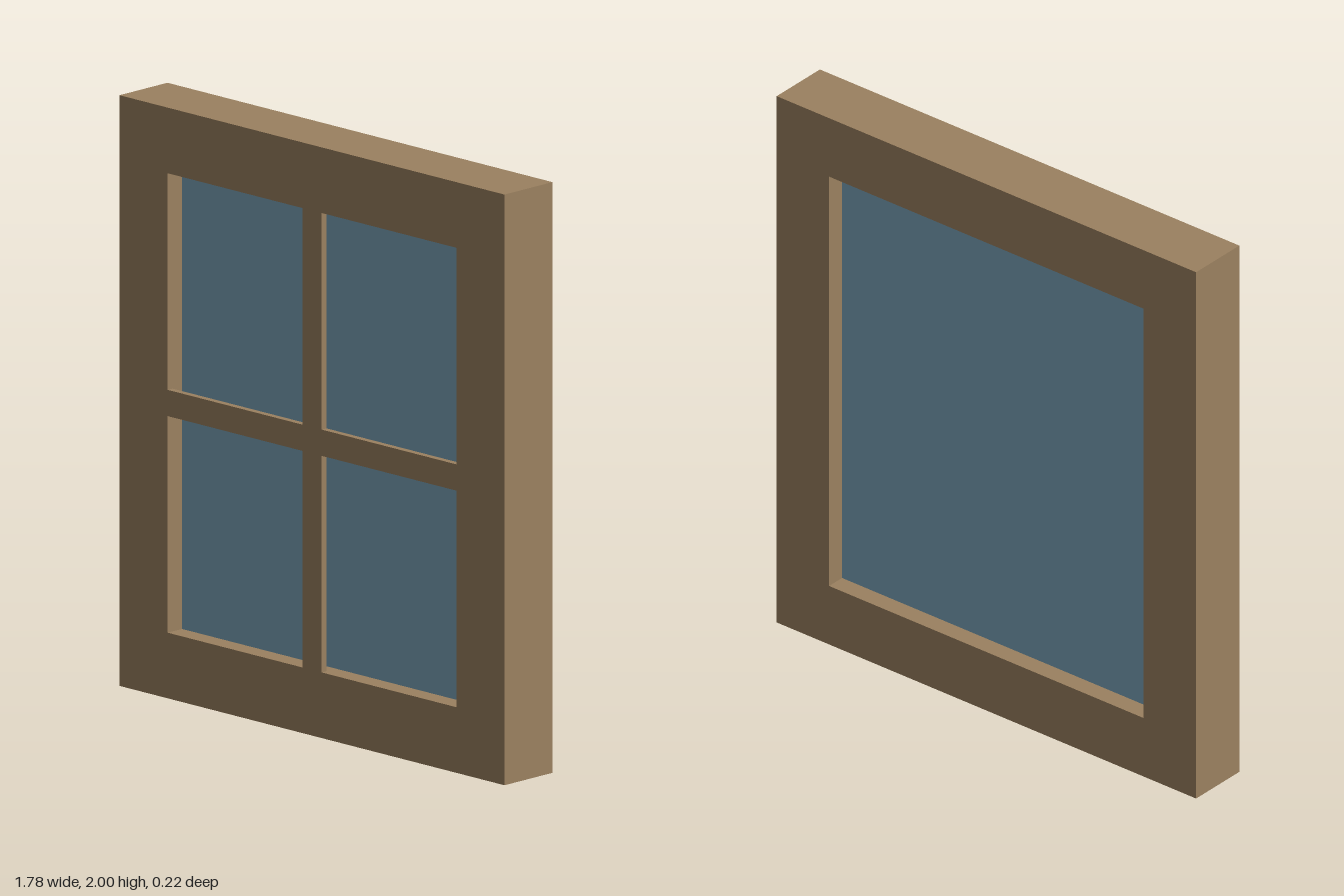
import * as THREE from 'three';

const U = 2 / 9; // one unit: the frame rail width and depth
const W = 8 * U, H = 9 * U, D = U;

// Adds a rectangular outline, centred on the origin
function rect(path, w, h) {
  path.moveTo(-w / 2, -h / 2);
  path.lineTo(w / 2, -h / 2);
  path.lineTo(w / 2, h / 2);
  path.lineTo(-w / 2, h / 2);
  path.closePath();
  return path;
}

export function createModel() {
  const wood = new THREE.MeshStandardMaterial({ name: 'brown wood', color: 0x9b8160 });
  const blue = new THREE.MeshStandardMaterial({ name: 'blue glass', color: 0x7ba4ba });
  const group = new THREE.Group();
  group.name = 'window';

  const add = (name, geometry, material, z) => {
    const mesh = new THREE.Mesh(geometry, material);
    mesh.name = name;
    mesh.position.set(0, H / 2, z);
    group.add(mesh);
  };

  const openW = W - 2 * U, openH = H - 2 * U;

  // Outer frame with one large opening
  const outline = rect(new THREE.Shape(), W, H);
  outline.holes.push(rect(new THREE.Path(), openW, openH));
  add('frame', new THREE.ExtrudeGeometry(outline, { depth: D, bevelEnabled: false }), wood, -D / 2);

  // Single pane set midway through the frame
  add('glass', new THREE.BoxGeometry(openW, openH, 0.4 * U), blue, 0);

  // Thin cross of glazing bars, flush with the front and clear of the glass
  const bar = 0.4 * U, thin = 0.1 * U;
  const cross = new THREE.Shape();
  const a = bar / 2, x = openW / 2, y = openH / 2;
  [[a, a], [a, y], [-a, y], [-a, a], [-x, a], [-x, -a], [-a, -a], [-a, -y], [a, -y], [a, -a], [x, -a], [x, a]]
    .forEach(([px, py], i) => (i ? cross.lineTo(px, py) : cross.moveTo(px, py)));
  add('glazingBars', new THREE.ExtrudeGeometry(cross, { depth: thin, bevelEnabled: false }), wood, D / 2 - thin);

  return group;
}
